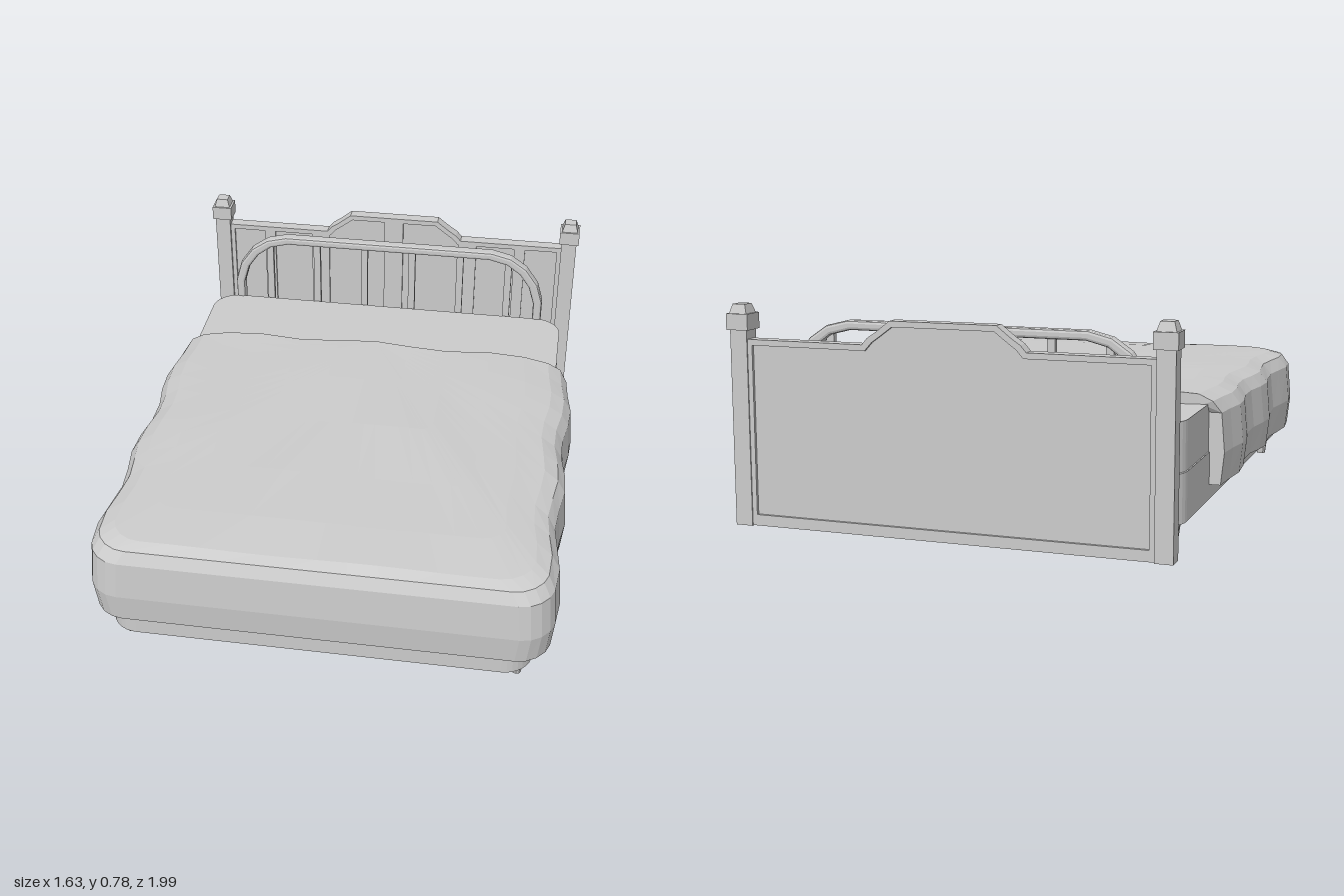
import * as THREE from 'three';

const material = new THREE.MeshStandardMaterial({ color: 0xcccccc, flatShading: true });
const clothMaterial = new THREE.MeshStandardMaterial({ color: 0xcccccc, flatShading: true, side: THREE.DoubleSide });

function add(parent, name, geometry, x = 0, y = 0, z = 0) {
  const mesh = new THREE.Mesh(geometry, material);
  mesh.name = name;
  mesh.position.set(x, y, z);
  parent.add(mesh);
  return mesh;
}

const box = (w, h, d) => new THREE.BoxGeometry(w, h, d);

// Outline from its right half (bottom to top), mirrored in x
function mirrored(half) {
  const left = half.map(([x, y]) => [-x, y]).reverse();
  return [...half, ...left].map(([x, y]) => new THREE.Vector2(x, y));
}

const extrude = (shape, depth, bevel = 0) => new THREE.ExtrudeGeometry(shape, {
  depth: depth - 2 * bevel, bevelEnabled: bevel > 0, bevelThickness: bevel,
  bevelSize: bevel, bevelOffset: -bevel, bevelSegments: 2, curveSegments: 4,
}).translate(0, 0, bevel);

// Flat slab with rounded corners, lying on y0
function slab(halfW, z0, z1, r, y0, y1) {
  const s = new THREE.Shape();
  s.moveTo(-halfW + r, z0);
  s.lineTo(halfW - r, z0);
  s.absarc(halfW - r, z0 + r, r, -Math.PI / 2, 0);
  s.lineTo(halfW, z1 - r);
  s.absarc(halfW - r, z1 - r, r, 0, Math.PI / 2);
  s.lineTo(-halfW + r, z1);
  s.absarc(-halfW + r, z1 - r, r, Math.PI / 2, Math.PI);
  s.lineTo(-halfW, z0 + r);
  s.absarc(-halfW + r, z0 + r, r, Math.PI, Math.PI * 1.5);
  return extrude(s, y1 - y0).rotateX(Math.PI / 2).translate(0, y1, 0);
}

// U-shaped outline of the blanket: left side, rounded front, right side
function blanketOutline(inset) {
  const w = 0.8 - inset, front = 0.995 - inset * 0.8, r = 0.1, back = -0.37;
  const half = [];
  for (let i = 0; i <= 12; i++) half.push([-w, back + (front - r - back) * i / 12]);
  for (let i = 1; i <= 4; i++) {
    const a = Math.PI / 8 * i;
    half.push([-w + r - r * Math.cos(a), front - r + r * Math.sin(a)]);
  }
  for (let i = 1; i <= 6; i++) half.push([(-w + r) * (1 - i / 6), front]);
  return [...half, ...half.slice(0, -1).reverse().map(([x, z]) => [-x, z])];
}

function blanketGeometry() {
  // [inset, height, scale towards the middle of the back edge]
  const levels = [
    [0.012, 0.14, 1], [0, 0.25, 1], [0.012, 0.39, 1], [0.04, 0.432, 1], [0.09, 0.456, 1],
    [0.09, 0.465, 0.86], [0.09, 0.47, 0.66], [0.09, 0.474, 0.42], [0.09, 0.476, 0.2], [0.09, 0.477, 0],
  ];
  const rows = levels.map(([inset, h, t], j) => blanketOutline(inset).map(([x0, z0]) => {
    const x = x0 * t, z = -0.37 + (z0 + 0.37) * t;
    const fold = Math.cos((z + 0.13) / 0.46 * Math.PI * 2) * t;
    const nearBack = Math.max(0, 1 - (z + 0.37) / 0.4);
    const backWave = (j < 3 ? 0.02 : -0.012 - 0.014 * Math.cos(x / 0.52 * Math.PI * 2)) * nearBack;
    const hem = j === 0 ? 0.007 * Math.sin(z * 6 + 1) : 0;
    const sag = j > 3 ? -0.012 * Math.max(0, z - 0.2) + 0.003 * Math.sin(x * 9) * Math.sin(z * 8) : 0;
    return [x + Math.sign(x) * 0.013 * fold * Math.min(1, Math.abs(x) * 1.3), h + hem + sag, z + backWave];
  }));
  // Lining point lying on the mattress
  const inner = ([x, y, z]) => [Math.max(-0.72, Math.min(0.72, x)), Math.min(y, 0.415), Math.min(z, 0.96)];
  const pos = [];
  const quad = (a, b, c, d) => pos.push(...a, ...b, ...c, ...a, ...c, ...d);
  const last = rows[0].length - 1;
  for (let s = 0; s < last; s++) {
    for (let j = 0; j < rows.length - 1; j++) quad(rows[j][s], rows[j][s + 1], rows[j + 1][s + 1], rows[j + 1][s]);
    quad(inner(rows[0][s]), inner(rows[0][s + 1]), rows[0][s + 1], rows[0][s]);
  }
  // Thick rear edge
  for (let j = 0; j < rows.length - 1; j++) {
    const a = rows[j], b = rows[j + 1];
    quad(a[0], b[0], inner(b[0]), inner(a[0]));
    quad(b[last], a[last], inner(a[last]), inner(b[last]));
  }
  const g = new THREE.BufferGeometry();
  g.setAttribute('position', new THREE.Float32BufferAttribute(pos, 3));
  g.computeVertexNormals();
  return g;
}

function slattedFrame() {
  const g = new THREE.Group();
  g.name = 'slattedFrame';
  // Arched frame with an open middle
  const shape = new THREE.Shape(mirrored([
    [0.648, 0.018], [0.648, 0.5], [0.625, 0.58], [0.575, 0.65], [0.51, 0.695], [0.43, 0.715],
  ]));
  shape.holes.push(new THREE.Path(mirrored([
    [0.612, 0.08], [0.612, 0.49], [0.59, 0.565], [0.55, 0.622], [0.495, 0.663], [0.42, 0.682],
  ])));
  add(g, 'archedRail', extrude(shape, 0.046, 0.01), 0, 0, -0.8);
  for (let i = 0; i < 6; i++) {
    const x = -0.5 + i * 0.2, top = i % 5 ? 0.69 : 0.665;
    add(g, 'slat', box(0.028, top - 0.07, 0.02), x, (top + 0.07) / 2, -0.777);
  }
  return g;
}

function headboard() {
  const g = new THREE.Group();
  g.name = 'headboard';
  const crest = [[0.285, 0.662], [0.265, 0.685], [0.235, 0.705], [0.185, 0.744]];
  const lowCrest = [[0.275, 0.642], [0.25, 0.67], [0.225, 0.688], [0.177, 0.724]];
  const outer = [[0.715, 0.022], [0.715, 0.662], ...crest];
  // Thin panel with a raised border on both faces
  add(g, 'panel', extrude(new THREE.Shape(mirrored(outer)), 0.026), 0, 0, -0.975);
  const border = new THREE.Shape(mirrored(outer));
  border.holes.push(new THREE.Path(mirrored([[0.69, 0.06], [0.69, 0.642], ...lowCrest])));
  add(g, 'border', extrude(border, 0.046), 0, 0, -0.985);
  // Upright strips on the front
  for (const [x, w, top] of [[0, 0.08, 0.73], [0.315, 0.075, 0.65], [0.535, 0.045, 0.65]]) {
    for (const side of x ? [-1, 1] : [1]) add(g, 'panelStrip', box(w, top - 0.04, 0.012), side * x, (top + 0.04) / 2, -0.945);
  }
  // Posts with a block and a tapered finial
  for (const side of [-1, 1]) {
    const x = side * 0.738, z = -0.958;
    add(g, 'post', box(0.062, 0.68, 0.062), x, 0.36, z);
    add(g, 'postBlock', box(0.08, 0.055, 0.08), x, 0.72, z);
    const finial = new THREE.CylinderGeometry(0.032, 0.046, 0.032, 4).rotateY(Math.PI / 4);
    add(g, 'postFinial', finial, x, 0.763, z);
  }
  return g;
}

export function createModel() {
  const bed = new THREE.Group();
  bed.name = 'bed';
  add(bed, 'bedBase', slab(0.735, -0.775, 0.978, 0.1, 0.08, 0.25));
  add(bed, 'mattress', slab(0.73, -0.76, 0.96, 0.1, 0.25, 0.42));
  for (const x of [-0.685, 0.685]) {
    for (const z of [-0.665, 0.88]) add(bed, 'leg', new THREE.CylinderGeometry(0.028, 0.017, 0.08, 10), x, 0.04, z);
  }
  const blanket = add(bed, 'blanket', blanketGeometry());
  blanket.material = clothMaterial;
  bed.add(slattedFrame(), headboard());
  return bed;
}
